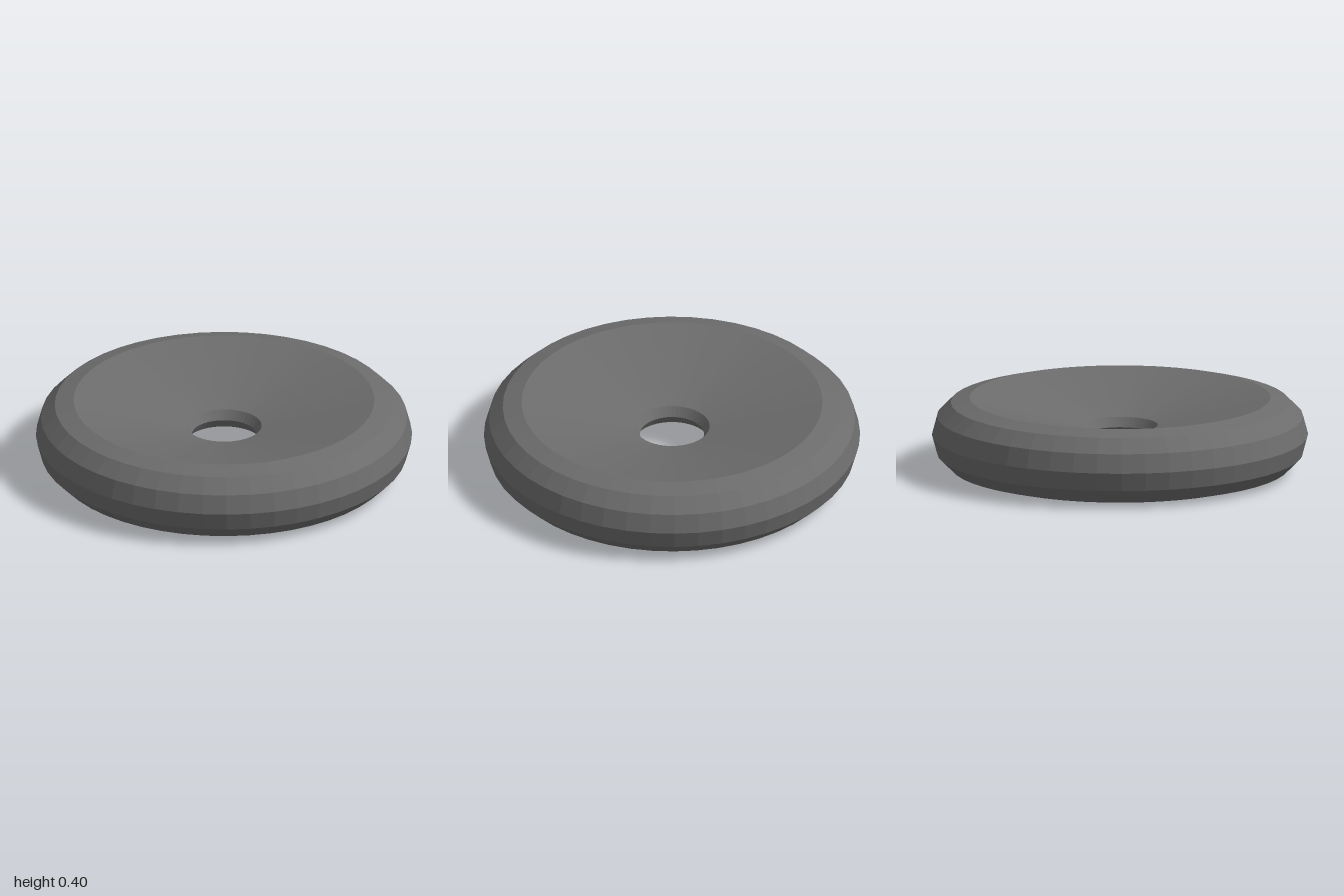
import * as THREE from 'three';

const SIDES = 48;
const MID = 0.2; // height of the symmetry plane

// Points of a half ellipse in the (radius, height) plane
function halfRound(centre, rx, ry, start, steps) {
  return Array.from({ length: steps + 1 }, (_, i) => {
    const a = start + (Math.PI * i) / steps;
    return new THREE.Vector2(centre + rx * Math.cos(a), MID + ry * Math.sin(a));
  });
}

export function createModel() {
  const group = new THREE.Group();
  group.name = 'dishedDisc';

  // Rounded outer rim, conical dishes above and below, bevelled hole lip
  const rim = halfRound(0.8, 0.2, 0.2, -Math.PI / 2, 6);
  const lip = halfRound(0.2, 0.03, 0.05, Math.PI / 2, 2);
  const profile = [...rim, ...lip, rim[0].clone()];

  const material = new THREE.MeshStandardMaterial({ color: 0x6c6c6c, flatShading: true });
  const disc = new THREE.Mesh(new THREE.LatheGeometry(profile, SIDES), material);
  disc.name = 'disc';
  group.add(disc);
  return group;
}
